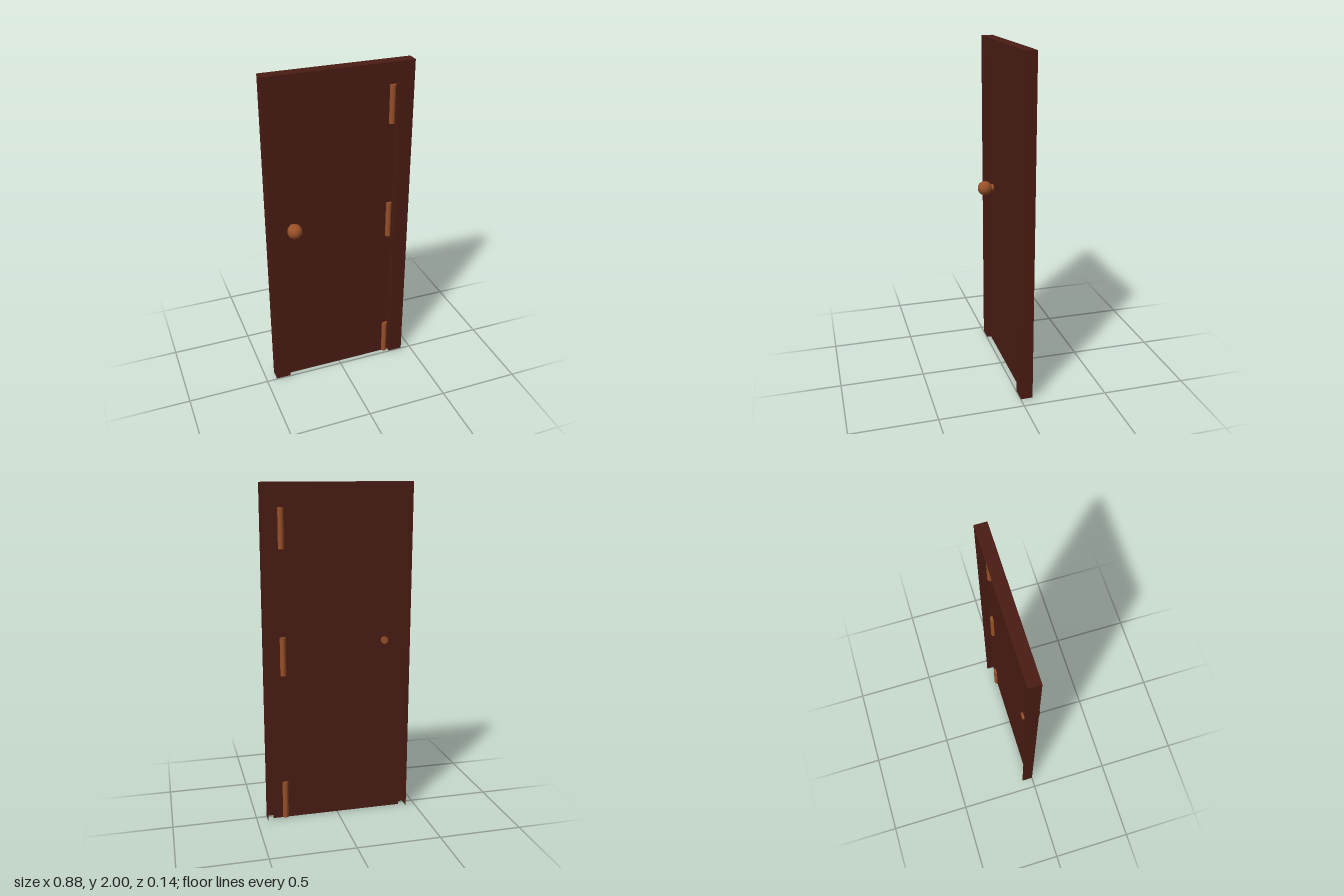
import * as THREE from 'three';

const wood = new THREE.MeshStandardMaterial({ color: 0x4a1c13, side: THREE.DoubleSide });
const brass = new THREE.MeshStandardMaterial({ color: 0x9a5028 });

// Sweeps the thin casing section up one side, across the top and down the other
function casingGeometry(halfWidth, bottom, top) {
  // [inset from the outer edge, z]: outer wall, front face, inner jamb
  const section = [[0, -0.07], [0, 0], [0.09, 0], [0.09, -0.03]];
  const rail = ([t, z]) => [
    [-halfWidth + t, bottom, z],
    [-halfWidth + t, top - t, z],
    [halfWidth - t, top - t, z],
    [halfWidth - t, bottom, z],
  ];
  const rails = section.map(rail);
  const positions = [];
  for (let j = 0; j < rails.length - 1; j++) {
    for (let i = 0; i < 3; i++) {
      const a = rails[j][i], b = rails[j + 1][i];
      const c = rails[j + 1][i + 1], d = rails[j][i + 1];
      positions.push(...a, ...b, ...c, ...a, ...c, ...d);
    }
  }
  const geometry = new THREE.BufferGeometry();
  geometry.setAttribute('position', new THREE.Float32BufferAttribute(positions, 3));
  geometry.computeVertexNormals();
  return geometry;
}

export function createModel() {
  const model = new THREE.Group();
  model.name = 'door';

  const add = (name, geometry, material, x, y, z, parent = model) => {
    const mesh = new THREE.Mesh(geometry, material);
    mesh.name = name;
    mesh.position.set(x, y, z);
    parent.add(mesh);
    return mesh;
  };

  // Hollow-backed frame and the panel set behind its jamb
  add('frame', casingGeometry(0.4375, 0.005, 2), wood, 0, 0, 0);
  add('doorPanel', new THREE.PlaneGeometry(0.8, 1.95), wood, 0, 0.975, -0.03);

  // Hinge barrels showing on both sides of the panel
  const hinge = new THREE.CylinderGeometry(0.018, 0.018, 0.23, 8);
  for (const y of [0.118, 1.015, 1.75]) add('hinge', hinge, brass, 0.322, y, -0.03);

  // Round knob on a spindle through the panel
  const knob = new THREE.Group();
  knob.name = 'knob';
  knob.position.set(-0.289, 1.08, 0);
  model.add(knob);
  add('knobBall', new THREE.SphereGeometry(0.045, 12, 10), brass, 0, 0, 0.023, knob);
  const spindle = new THREE.CylinderGeometry(0.022, 0.022, 0.05, 12).rotateX(Math.PI / 2);
  add('knobSpindle', spindle, brass, 0, 0, -0.017, knob);

  return model;
}
